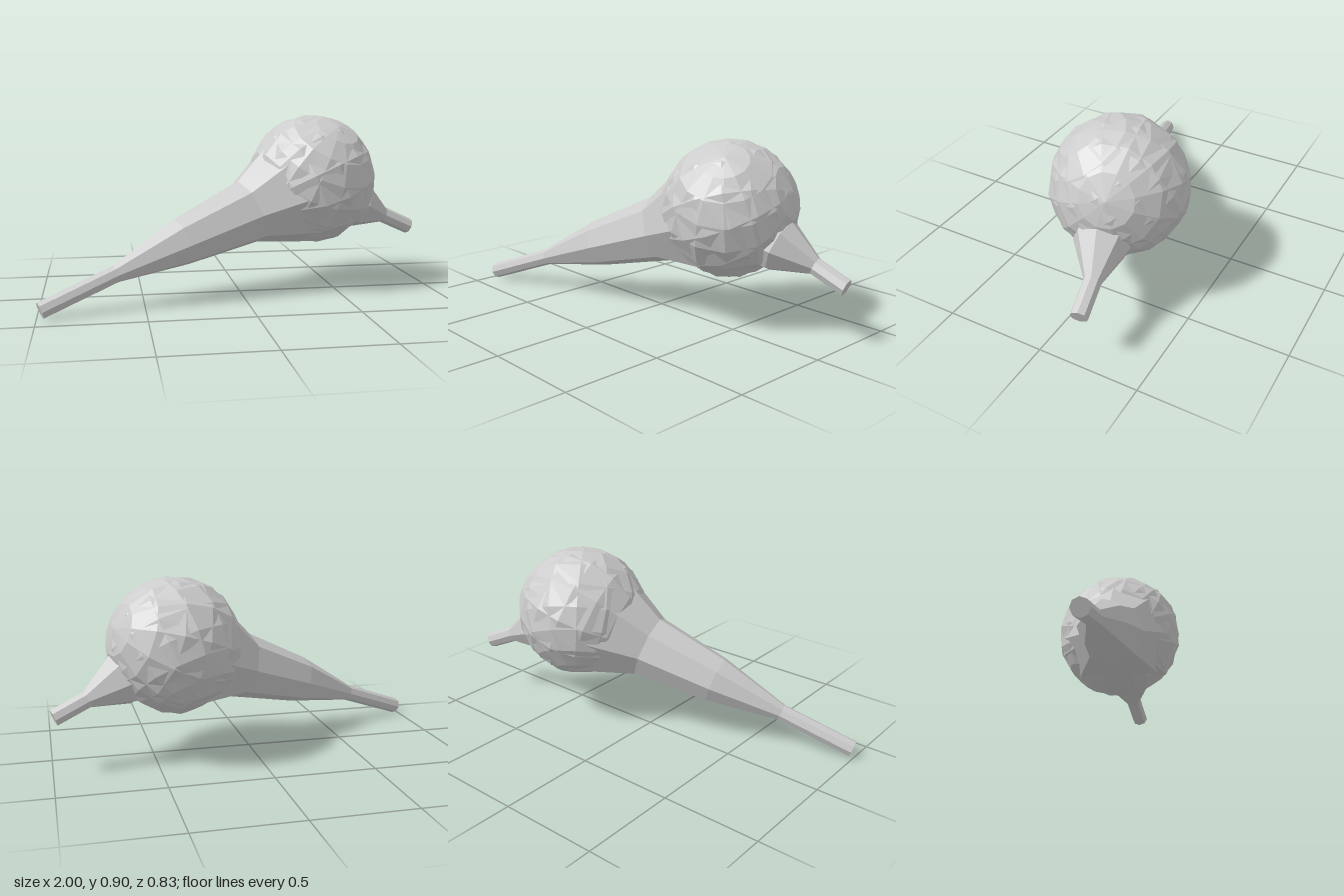
import * as THREE from 'three';

const material = new THREE.MeshStandardMaterial({ color: 0xcccccc, flatShading: true });
const V = (x, y, z) => new THREE.Vector3(x, y, z);

// Lofts an eight-sided limb through rings [x, y, z, radius] square to one axis, capped at both ends.
function limb(name, rings, axis, sides = 8) {
  const dir = axis.clone().normalize();
  const u = V(0, 1, 0).addScaledVector(dir, -dir.y).normalize();
  const w = dir.clone().cross(u);
  const pos = [], index = [];
  for (const [x, y, z, r] of rings) {
    for (let i = 0; i < sides; i++) {
      const a = (i / sides) * Math.PI * 2;
      const p = V(x, y, z).addScaledVector(u, r * Math.cos(a)).addScaledVector(w, r * Math.sin(a));
      pos.push(p.x, p.y, p.z);
    }
  }
  for (let k = 0; k < rings.length - 1; k++) {
    for (let i = 0; i < sides; i++) {
      const a = k * sides + i, b = k * sides + (i + 1) % sides;
      index.push(a, b, b + sides, a, b + sides, a + sides);
    }
  }
  const last = (rings.length - 1) * sides;
  for (let i = 1; i < sides - 1; i++) {
    index.push(0, i + 1, i, last, last + i, last + i + 1);
  }
  const geo = new THREE.BufferGeometry();
  geo.setAttribute('position', new THREE.Float32BufferAttribute(pos, 3));
  geo.setIndex(index);
  geo.computeVertexNormals();
  const mesh = new THREE.Mesh(geo, material);
  mesh.name = name;
  return mesh;
}

// Faceted ball with its pole along a given axis; the bump rule makes it slightly uneven.
function ball(name, radius, sides, rows, pole, bump) {
  const geo = new THREE.SphereGeometry(radius, sides, rows);
  const p = geo.attributes.position, v = V(0, 0, 0);
  for (let i = 0; i < p.count; i++) {
    v.fromBufferAttribute(p, i);
    v.multiplyScalar(1 + bump * Math.sin(v.x * 17 + v.y * 11) * Math.cos(v.z * 15 - v.y * 9));
    p.setXYZ(i, v.x, v.y, v.z);
  }
  geo.computeVertexNormals();
  const mesh = new THREE.Mesh(geo, material);
  mesh.name = name;
  mesh.position.set(0.393, 0.577, -0.08);
  mesh.quaternion.setFromUnitVectors(V(0, 1, 0), pole.clone().normalize());
  return mesh;
}

export function createModel() {
  const model = new THREE.Group();
  model.name = 'bulbWithTwoStems';
  const axis = V(0.895, 0.335, -0.295);

  // Bulb and its overlapping uneven skin
  model.add(ball('bulb', 0.335, 12, 8, axis, 0));
  model.add(ball('bulbSkin', 0.333, 14, 9, V(0.3, 0.8, 0.45), 0.016));

  // Long stem flaring into the bulb
  model.add(limb('longStem', [
    [-0.983, 0.048, 0.375, 0.042],
    [-0.637, 0.18, 0.26, 0.043],
    [-0.31, 0.305, 0.148, 0.122],
    [0.035, 0.428, 0.038, 0.168],
    [0.27, 0.52, -0.04, 0.292],
    [0.42, 0.576, -0.09, 0.31],
  ], axis));

  // Short stem on the far side
  model.add(limb('shortStem', [
    [0.55, 0.48, -0.11, 0.14],
    [0.67, 0.432, -0.137, 0.132],
    [0.828, 0.36, -0.188, 0.043],
    [0.985, 0.288, -0.213, 0.042],
  ], V(0.92, -0.38, -0.2)));

  return model;
}
